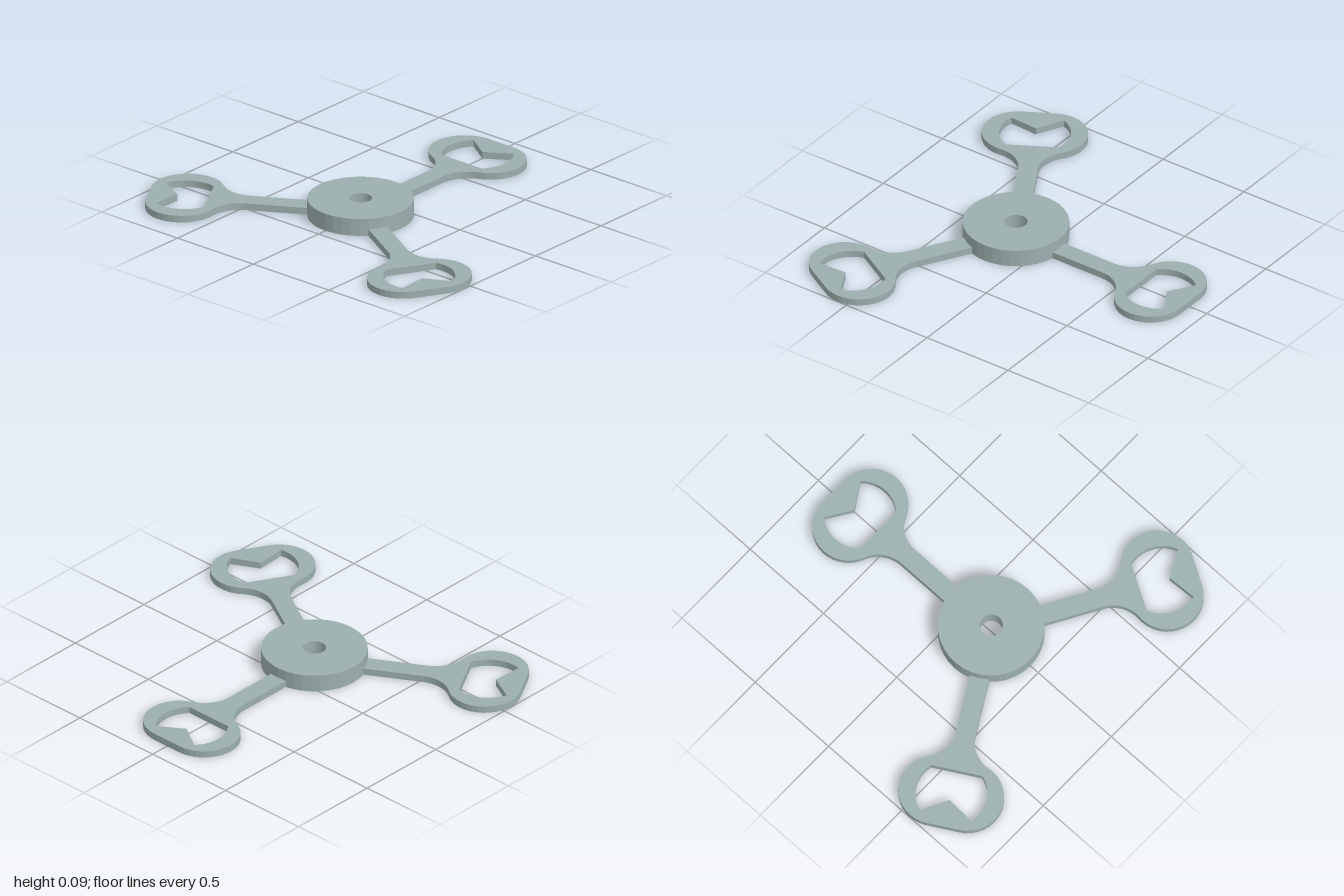
import * as THREE from 'three';

const HUB_Z = 0.18;      // hub centre, offset so the model is centred
const HUB_R = 0.267;
const HUB_H = 0.092;
const ARM_H = 0.036;

// Extrude a plan drawn in (x, outward) upward from the ground
function extrudeUp(shape, height, curveSegments) {
  const geometry = new THREE.ExtrudeGeometry(shape, { depth: height, bevelEnabled: false, curveSegments });
  return geometry.rotateX(-Math.PI / 2);
}

// Narrow arm flaring through fillets into a two-lobed ring
function armShape() {
  const half = 0.05, lobeX = 0.085, lobeY = 0.894, lobeR = 0.182;
  const filletR = 0.171;
  const filletX = half + filletR;
  const reach = lobeR + filletR;
  const filletY = lobeY - Math.sqrt(reach ** 2 - (filletX - lobeX) ** 2);
  const a = Math.atan2(lobeY - filletY, lobeX - filletX); // fillet to lobe direction

  const s = new THREE.Shape();
  s.moveTo(-half, 0.25);
  s.lineTo(half, 0.25);
  s.lineTo(half, filletY);
  s.absarc(filletX, filletY, filletR, Math.PI, a, true);
  s.absarc(lobeX, lobeY, lobeR, a - Math.PI, Math.PI / 2, false);
  s.absarc(-lobeX, lobeY, lobeR, Math.PI / 2, 2 * Math.PI - a, false);
  s.absarc(-filletX, filletY, filletR, Math.PI - a, 0, true);
  s.closePath();

  // Round opening pinched by two pointed teeth
  const r = 0.18, t = 0.75, tooth = 0.037;
  const hole = new THREE.Path();
  hole.moveTo(0, lobeY - tooth);
  hole.absarc(0, lobeY, r, -t, t, false);
  hole.lineTo(0, lobeY + tooth);
  hole.absarc(0, lobeY, r, Math.PI - t, Math.PI + t, false);
  hole.closePath();
  s.holes.push(hole);
  return s;
}

export function createModel() {
  const model = new THREE.Group();
  model.name = 'threeArmSpinner';
  const material = new THREE.MeshStandardMaterial({ color: 0x9caeae });
  material.name = 'greyGreen';

  // Hub disc with a bore through it
  const disc = new THREE.Shape().absarc(0, 0, HUB_R, 0, Math.PI * 2, false);
  disc.holes.push(new THREE.Path().absarc(0, 0, 0.058, 0, Math.PI * 2, true));
  const hub = new THREE.Mesh(extrudeUp(disc, HUB_H, 18), material);
  hub.name = 'hub';
  hub.position.z = HUB_Z;
  model.add(hub);

  // Three identical arms
  const armGeometry = extrudeUp(armShape(), ARM_H, 8);
  ['backArm', 'rightArm', 'leftArm'].forEach((name, i) => {
    const arm = new THREE.Mesh(armGeometry, material);
    arm.name = name;
    arm.position.z = HUB_Z;
    arm.rotation.y = (i * Math.PI * 2) / 3;
    model.add(arm);
  });
  return model;
}
